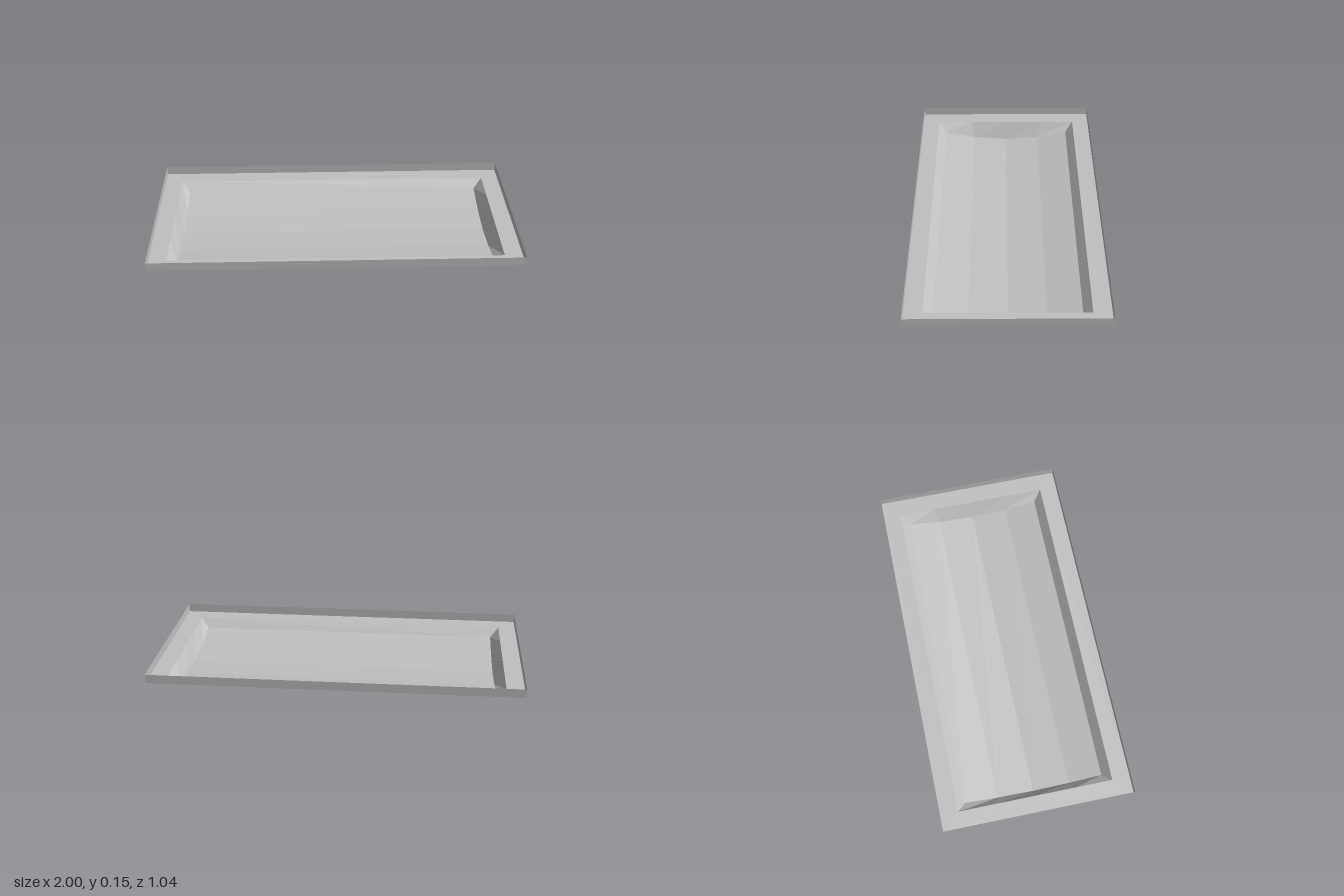
import * as THREE from 'three';

const TOP = 0.146, LEDGE = 0.098;      // wall top and ledge heights
const OX = 1, OZ = 0.522;              // outer half sizes
const BX = 0.903, FX = 0.855;          // basin half length at mouth and floor

// Basin cross-section: z at the mouth, z and y on the floor
const half = [[0.425, 0.38, 0.051], [0.22, 0.2, 0.016]];
const section = [
  ...half.map(([m, z, y]) => [-m, -z, y]),
  [0, 0, 0],
  ...half.map(([m, z, y]) => [m, z, y]).reverse(),
];

// Flat-shaded geometry from four-cornered faces
function quads(faces) {
  const pos = faces.flatMap(([a, b, c, d]) => [a, b, c, a, c, d]).flat();
  const g = new THREE.BufferGeometry();
  g.setAttribute('position', new THREE.Float32BufferAttribute(pos, 3));
  g.computeVertexNormals();
  return g;
}

export function createModel() {
  const group = new THREE.Group();
  group.name = 'tray';
  const grey = new THREE.MeshStandardMaterial({ color: 0xc0c0c0 });
  grey.name = 'light grey';
  grey.side = THREE.DoubleSide;
  grey.flatShading = true;

  const add = (name, geometry) => {
    const mesh = new THREE.Mesh(geometry, grey);
    mesh.name = name;
    group.add(mesh);
  };

  // Thin upright wall around the edge
  const corners = [[-OX, OZ], [OX, OZ], [OX, -OZ], [-OX, -OZ]];
  add('outerWall', quads(corners.map(([x, z], i) => {
    const [u, w] = corners[(i + 1) % 4];
    return [[x, LEDGE, z], [u, LEDGE, w], [u, TOP, w], [x, TOP, z]];
  })));

  // Flat ledge with the basin opening
  const rect = (P, x, z) => new P([[-x, -z], [x, -z], [x, z], [-x, z]].map(p => new THREE.Vector2(...p)));
  const ledge = rect(THREE.Shape, OX, OZ);
  ledge.holes.push(rect(THREE.Path, BX, section[4][0]));
  add('ledge', new THREE.ShapeGeometry(ledge).rotateX(-Math.PI / 2).translate(0, LEDGE, 0));

  // Faceted floor and sloping ends
  const floor = [], ends = [];
  for (let i = 0; i < section.length - 1; i++) {
    const [m0, z0, y0] = section[i], [m1, z1, y1] = section[i + 1];
    floor.push([[-FX, y0, z0], [-FX, y1, z1], [FX, y1, z1], [FX, y0, z0]]);
    for (const s of [-1, 1]) {
      const face = [[s * FX, y0, z0], [s * FX, y1, z1], [s * BX, LEDGE, m1], [s * BX, LEDGE, m0]];
      ends.push(s > 0 ? face : face.reverse());
    }
  }
  add('basinFloor', quads(floor));
  add('basinEnds', quads(ends));

  // Sloping long sides
  const sides = [-1, 1].map(s => {
    const [m, z, y] = section[s > 0 ? 4 : 0];
    const face = [[-FX, y, z], [-BX, LEDGE, m], [BX, LEDGE, m], [FX, y, z]];
    return s > 0 ? face : face.reverse();
  });
  add('basinSides', quads(sides));

  return group;
}
